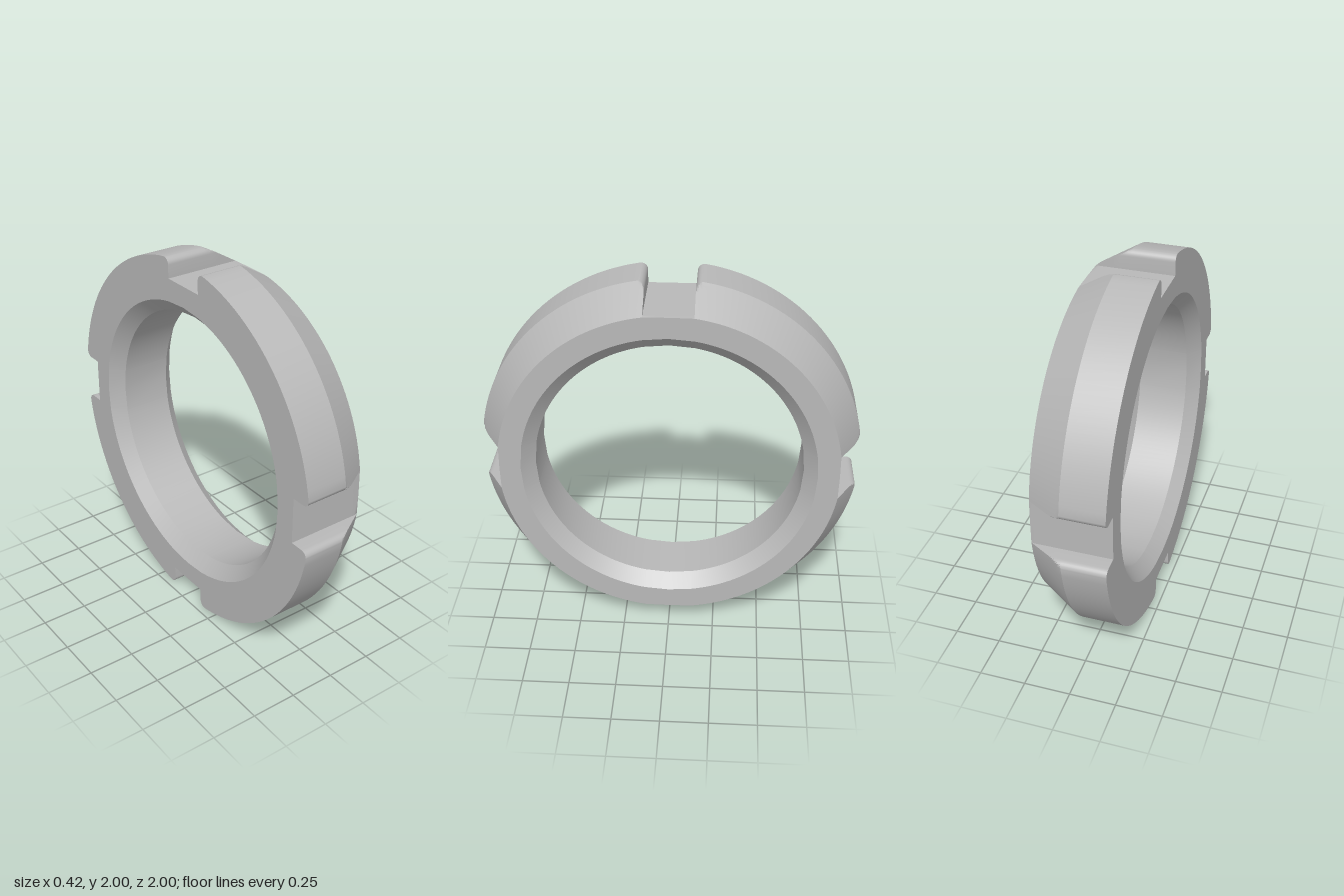
import * as THREE from 'three';
import { toCreasedNormals } from 'three/addons/utils/BufferGeometryUtils.js';

const OUTER = 1.013, FACE = 0.9, BORE = 0.71, BORE_EDGE = 0.78;
const HALF = 0.21, CONE_START = 0.02, CHAMFER = 0.07;
const SLOT = 0.127, FLOOR = 0.893, ROUND = 0.035;

// Slot half-profile as [z, y]: flat floor, straight wall, rounded outer corner
function slotProfile() {
  const points = [[0, FLOOR], [SLOT, FLOOR]];
  const cz = SLOT + ROUND;
  const cy = Math.sqrt((OUTER - ROUND) ** 2 - cz ** 2);
  const end = Math.atan2(cy, cz);
  for (let i = 0; i <= 8; i++) {
    const a = THREE.MathUtils.lerp(Math.PI, end, i / 8);
    points.push([cz + ROUND * Math.cos(a), cy + ROUND * Math.sin(a)]);
  }
  return points;
}

// Closed slotted outline, trimmed to a circle of the given radius
function outline(radius, slot) {
  const half = slot.map(([z, y]) => [z, Math.min(y, Math.sqrt(radius ** 2 - z ** 2))]);
  const start = Math.asin(slot[slot.length - 1][0] / radius);
  const steps = 14;
  for (let i = 1; i <= steps; i++) {
    const a = THREE.MathUtils.lerp(start, Math.PI / 4, i / steps);
    half.push([radius * Math.sin(a), radius * Math.cos(a)]);
  }
  // Mirror the eighth into a quarter, then turn it four times
  const quarter = half.concat(half.slice(1, -1).reverse().map(([z, y]) => [y, z]));
  const loop = [];
  for (let q = 0; q < 4; q++) {
    const c = Math.round(Math.cos(q * Math.PI / 2)), s = Math.round(Math.sin(q * Math.PI / 2));
    for (const [z, y] of quarter) loop.push([z * c + y * s, y * c - z * s]);
  }
  return loop;
}

// Skin consecutive [x, radius] sections into one closed ring
function ringGeometry(sections) {
  const slot = slotProfile();
  const rings = sections.map(([x, r]) =>
    outline(r, slot).map(([z, y]) => new THREE.Vector3(x, y, z)));
  const positions = [];
  const triangle = new THREE.Triangle();
  const add = (a, b, c) => {
    if (triangle.set(a, b, c).getArea() < 1e-8) return;
    for (const p of [a, b, c]) positions.push(p.x, p.y, p.z);
  };
  for (let i = 0; i < rings.length - 1; i++) {
    const near = rings[i], far = rings[i + 1];
    for (let j = 0; j < near.length; j++) {
      const k = (j + 1) % near.length;
      add(near[j], near[k], far[j]);
      add(near[k], far[k], far[j]);
    }
  }
  const geometry = new THREE.BufferGeometry();
  geometry.setAttribute('position', new THREE.Float32BufferAttribute(positions, 3));
  return toCreasedNormals(geometry, 0.45);
}

export function createModel() {
  const steel = new THREE.MeshStandardMaterial({ color: 0xb8b8b8 });
  steel.name = 'steel grey';

  // Back face and straight rim
  const sections = [[-HALF, BORE_EDGE], [-HALF, OUTER]];
  // Tapered rim
  for (let i = 0; i <= 10; i++) {
    const t = i / 10;
    sections.push([THREE.MathUtils.lerp(CONE_START, HALF, t), THREE.MathUtils.lerp(OUTER, FACE, t)]);
  }
  // Tapered-side face and chamfered bore
  sections.push([HALF, BORE_EDGE], [HALF - CHAMFER, BORE], [-HALF + CHAMFER, BORE], [-HALF, BORE_EDGE]);

  const ring = new THREE.Mesh(ringGeometry(sections), steel);
  ring.name = 'slottedRing';
  ring.position.y = 1;

  const model = new THREE.Group();
  model.name = 'slottedRingNut';
  model.add(ring);
  return model;
}
